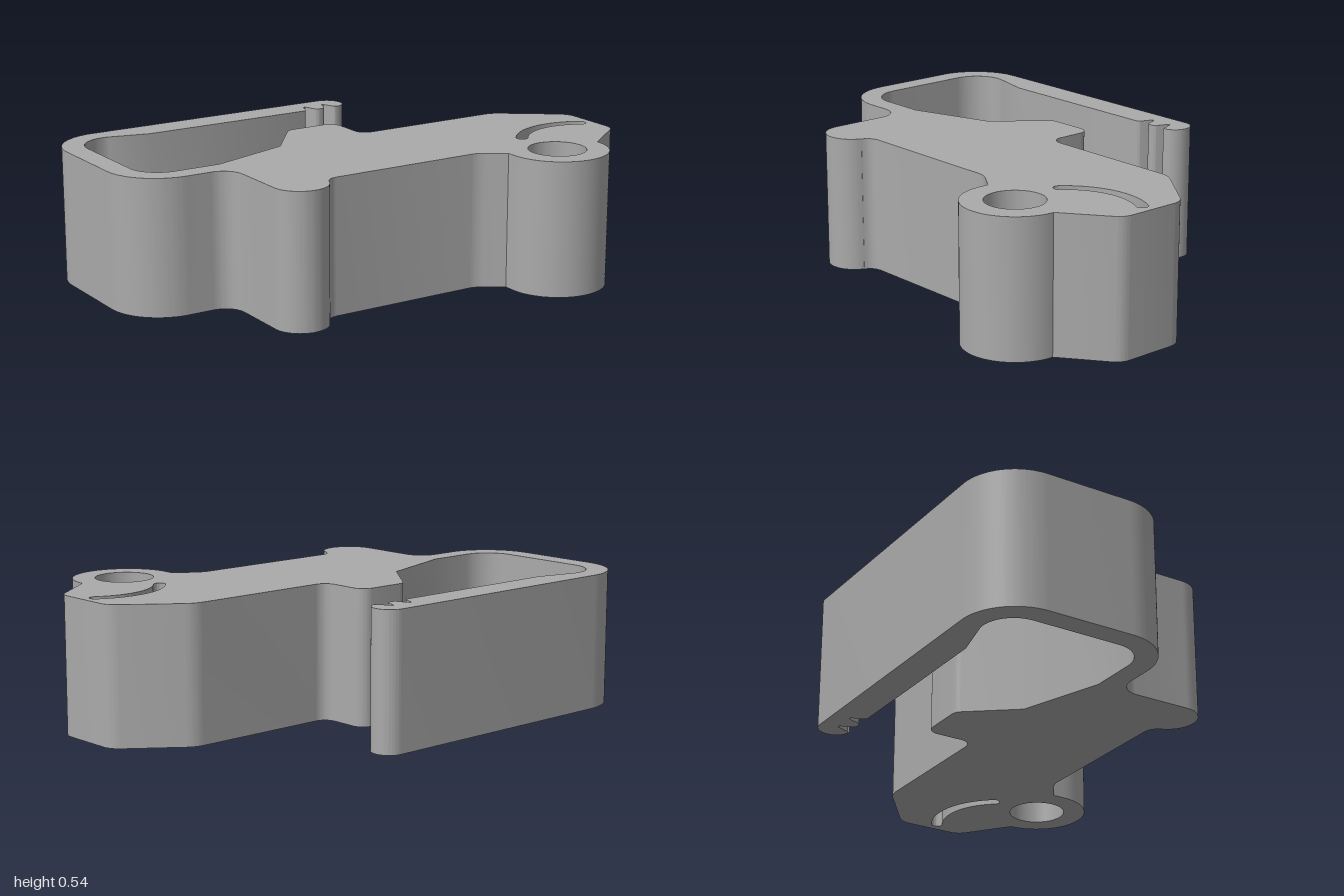
import * as THREE from 'three';
import { toCreasedNormals } from 'three/addons/utils/BufferGeometryUtils.js';

const HEIGHT = 0.535;
const PI = Math.PI;

// Plan outline, drawn clockwise with shape y = -z
function clipOutline() {
  const s = new THREE.Shape();
  const lines = (...pts) => pts.forEach(([x, y]) => s.lineTo(x, y));
  const bend = (cx, cy, x, y) => s.quadraticCurveTo(cx, cy, x, y);
  // quarter-style arc, angles in units of PI
  const arc = (x, y, r, a, b, cw = true) => s.absarc(x, y, r, a * PI, b * PI, cw);

  // spring arm with rounded tip
  s.moveTo(-0.79, 0.7);
  arc(0.265, 0.635, 0.065, 0.5, 0);
  arc(0.27, 0.63, 0.06, 0, -0.5);
  // two catch notches under the tip
  for (const x of [0.243, 0.153]) {
    lines([x + 0.04, 0.572]);
    bend(x + 0.025, 0.572, x + 0.02, 0.588);
    lines([x + 0.005, 0.63], [x - 0.005, 0.63], [x - 0.02, 0.588]);
    bend(x - 0.025, 0.572, x - 0.04, 0.572);
  }
  // inside of the loop
  lines([-0.6, 0.572], [-0.76, 0.612]);
  arc(-0.785, 0.49, 0.125, 0.44, 1, false);
  arc(-0.785, 0.135, 0.125, 1, 1.5, false);
  lines([-0.6, 0.01], [-0.27, 0.12], [-0.125, 0.305]);
  // raised stop on the back of the body
  bend(-0.11, 0.325, -0.085, 0.325);
  arc(0.055, 0.275, 0.05, 0.5, 0);
  arc(0.155, 0.17, 0.05, 1, 1.5, false);
  // sloped right end
  lines([0.71, 0.12]);
  bend(0.745, 0.12, 0.775, 0.098);
  lines([0.965, -0.043]);
  bend(0.998, -0.07, 0.998, -0.11);
  lines([0.998, -0.31]);
  bend(0.998, -0.345, 0.97, -0.368);
  lines([0.8, -0.495]);
  // pivot eye
  arc(0.6, -0.497, 0.2, 0, -1);
  lines([0.4, -0.452], [0.33, -0.405]);
  bend(0.3, -0.385, 0.27, -0.385);
  // foot
  lines([-0.33, -0.385]);
  bend(-0.375, -0.385, -0.39, -0.425);
  arc(-0.493, -0.388, 0.108, -0.11, -1);
  // outside of the loop
  lines([-0.6, -0.16]);
  arc(-0.685, -0.16, 0.085, 0, 0.5, false);
  lines([-0.785, -0.075]);
  arc(-0.785, 0.14, 0.215, -0.5, -1);
  arc(-0.785, 0.485, 0.215, 1, 0.5);
  s.closePath();

  // round pivot hole
  const hole = new THREE.Path();
  hole.absarc(0.6, -0.497, 0.113, 0, 2 * PI, false);

  // curved slot with rounded ends
  const cx = 0.81, cy = -0.445, r = 0.27, w = 0.023;
  const a0 = THREE.MathUtils.degToRad(60), a1 = THREE.MathUtils.degToRad(143);
  const slot = new THREE.Path();
  slot.absarc(cx, cy, r + w, a0, a1, false);
  slot.absarc(cx + r * Math.cos(a1), cy + r * Math.sin(a1), w, a1, a1 + PI, false);
  slot.absarc(cx, cy, r - w, a1, a0, true);
  slot.absarc(cx + r * Math.cos(a0), cy + r * Math.sin(a0), w, a0 + PI, a0 + 2 * PI, false);

  s.holes.push(hole, slot);
  return s;
}

export function createModel() {
  const grey = new THREE.MeshStandardMaterial({ name: 'grey', color: 0xaaaaaa });
  const geometry = new THREE.ExtrudeGeometry(clipOutline(), {
    depth: HEIGHT, bevelEnabled: false, curveSegments: 20,
  });
  geometry.rotateX(-PI / 2);

  const body = new THREE.Mesh(toCreasedNormals(geometry, 0.45), grey);
  body.name = 'clipBody';
  const model = new THREE.Group();
  model.name = 'springClip';
  model.add(body);
  return model;
}
